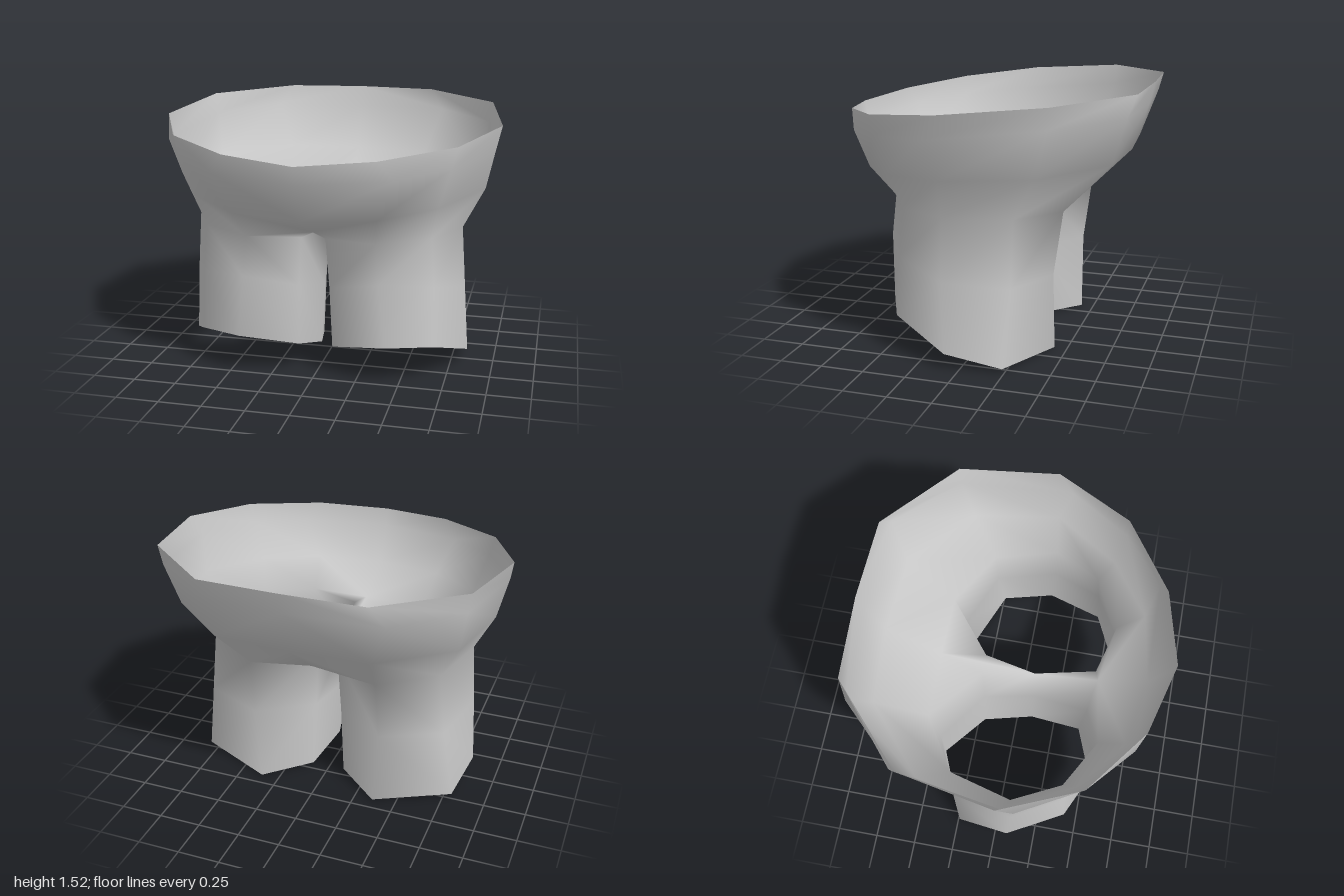
import * as THREE from 'three';
import { mergeVertices } from 'three/addons/utils/BufferGeometryUtils.js';

// Left half of the torso: rings run from front centre around the side to back centre
const torso = [
  [[0, 1.335, 0.89], [0.42, 1.36, 0.78], [0.8, 1.4, 0.5], [1, 1.45, 0.06], [0.9, 1.5, -0.51], [0.47, 1.52, -0.88], [0, 1.525, -0.9]],
  [[0, 1.23, 0.87], [0.5, 1.25, 0.735], [0.77, 1.28, 0.5], [0.97, 1.31, 0.15], [0.88, 1.38, -0.5], [0.55, 1.4, -0.84], [0, 1.4, -0.87]],
  [[0, 1.01, 0.76], [0.4, 1.02, 0.69], [0.7, 1.05, 0.46], [0.92, 1.09, 0.08], [0.83, 1.11, -0.42], [0.45, 1.13, -0.75], [0, 1.13, -0.78]],
  [[0, 0.88, 0.48], [0.37, 0.85, 0.54], [0.66, 0.86, 0.38], [0.8, 0.86, 0.1], [0.7, 0.85, -0.27], [0.38, 0.83, -0.47], [0, 0.88, -0.47]],
];

// Left leg: closed rings starting at the inner front; the first shares the hip edge
const hip = torso[3];
const leg = [
  [[0.07, 0.84, 0.46], ...hip.slice(1, 6), [0.06, 0.82, -0.21], [0, 0.81, 0.1]],
  [[0.09, 0.55, 0.45], [0.39, 0.62, 0.56], [0.68, 0.58, 0.4], [0.825, 0.5, 0.1], [0.74, 0.47, -0.27], [0.39, 0.46, -0.42], [0.08, 0.45, -0.2], [0.02, 0.45, 0.1]],
  [[0.1, 0.18, 0.42], [0.43, 0.245, 0.54], [0.69, 0.23, 0.42], [0.85, 0.1, 0.08], [0.8, 0.03, -0.24], [0.36, 0.005, -0.425], [0.1, 0.02, -0.21], [0.04, 0.075, 0.1]],
];

// Triangles of one half, outward facing
function halfTriangles() {
  const tris = [];
  const loft = (rings, closed) => {
    for (let r = 0; r < rings.length - 1; r++) {
      const up = rings[r], low = rings[r + 1], n = up.length;
      for (let i = 0; i < (closed ? n : n - 1); i++) {
        const j = (i + 1) % n;
        tris.push([low[i], low[j], up[j]], [low[i], up[j], up[i]]);
      }
    }
  };
  loft(torso, false);
  loft(leg, true);
  // Crotch gusset joining the torso centre line to the inner leg
  const [a, b, , , , f, g, h] = leg[0], front = hip[0], back = hip[6];
  tris.push([a, b, front], [h, a, front], [f, g, back], [g, h, back]);
  return tris;
}

export function createModel() {
  const positions = [];
  for (const [p, q, r] of halfTriangles()) {
    positions.push(...p, ...q, ...r);
    // Mirrored triangle with reversed winding
    for (const [x, y, z] of [r, q, p]) positions.push(x === 0 ? 0 : -x, y, z);
  }
  let geometry = new THREE.BufferGeometry();
  geometry.setAttribute('position', new THREE.Float32BufferAttribute(positions, 3));
  geometry = mergeVertices(geometry, 1e-4);
  geometry.computeVertexNormals();

  const material = new THREE.MeshStandardMaterial({ color: 0xcccccc, side: THREE.DoubleSide });
  const shorts = new THREE.Mesh(geometry, material);
  shorts.name = 'shorts';
  const group = new THREE.Group();
  group.name = 'shortsModel';
  group.add(shorts);
  return group;
}
